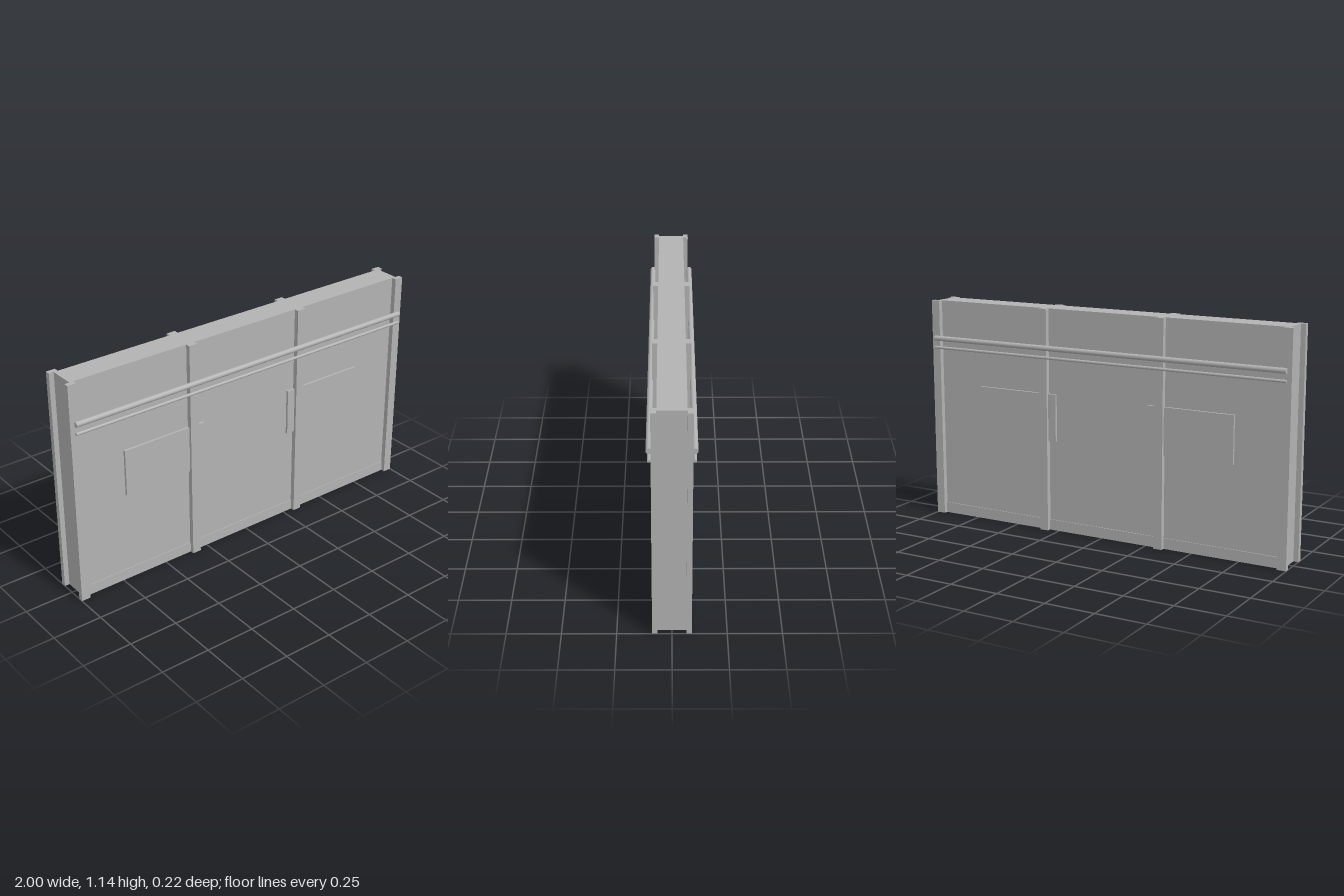
import * as THREE from 'three';

const HEIGHT = 1.14;
const FACE = 0.065; // half thickness of the wall core

export function createModel() {
  const wall = new THREE.Group();
  wall.name = 'wallSection';
  const grey = new THREE.MeshStandardMaterial({ color: 0xb2b2b2 });
  grey.name = 'grey';

  function add(parent, name, geometry, x, y, z) {
    const mesh = new THREE.Mesh(geometry, grey);
    mesh.name = name;
    mesh.position.set(x, y, z);
    parent.add(mesh);
    return mesh;
  }

  // solid core, set in slightly from the end posts
  add(wall, 'core', new THREE.BoxGeometry(1.95, HEIGHT, FACE * 2), 0, HEIGHT / 2, 0);

  // both sides carry the same fittings
  for (const turn of [0, Math.PI]) {
    const side = new THREE.Group();
    side.name = turn ? 'backSide' : 'frontSide';
    side.rotation.y = turn;
    wall.add(side);

    // upright posts
    for (const x of [-0.977, -0.326, 0.326, 0.977]) {
      add(side, 'post', new THREE.BoxGeometry(0.046, HEIGHT, 0.025), x, HEIGHT / 2, FACE + 0.0125);
    }

    // raised panels running behind the inner posts
    for (const x of [-0.487, 0.487]) {
      add(side, 'raisedPanel', new THREE.BoxGeometry(0.455, 0.24, 0.012), x, 0.59, FACE + 0.006);
    }

    // low skirting
    add(side, 'skirting', new THREE.BoxGeometry(1.95, 0.055, 0.004), 0, 0.0275, FACE + 0.002);

    // horizontal pipes
    for (const [name, radius, y] of [['largePipe', 0.0135, 0.945], ['smallPipe', 0.0075, 0.897]]) {
      const pipe = add(side, name, new THREE.CylinderGeometry(radius, radius, 1.955, 16), 0, y, 0.098);
      pipe.rotation.z = Math.PI / 2;
    }
  }
  return wall;
}
